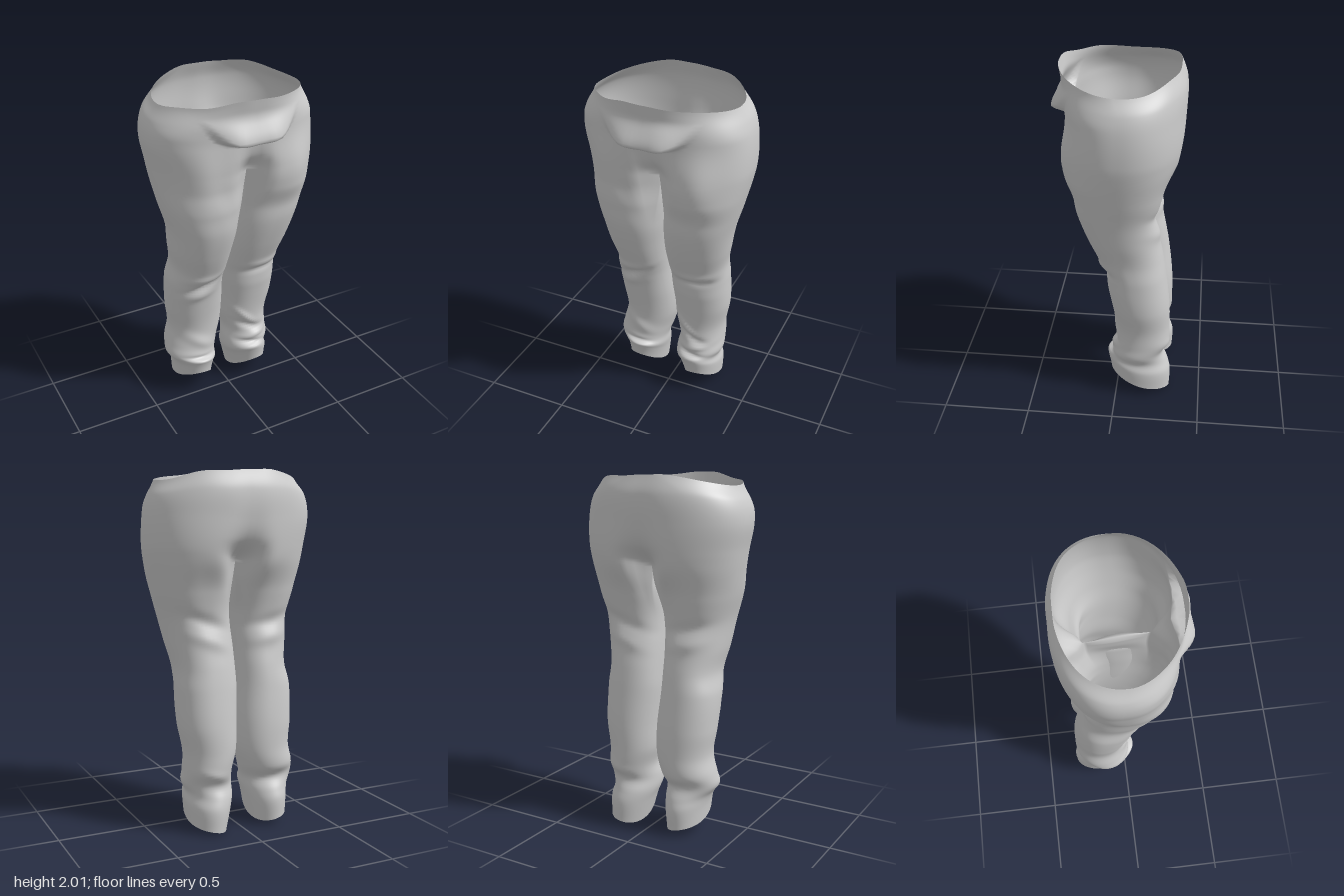
import * as THREE from 'three';
import { mergeVertices } from 'three/addons/utils/BufferGeometryUtils.js';

const CROTCH = 1.56, OUTER = 52, INNER = 20, RING = OUTER + INNER;

// Outline by height: y, front z, back z, right outer/inner x, left outer/inner x
const OUTLINE = [
  [2.00, 0.322, -0.325, 0.41, 0.0, 0.405, 0.0],
  [1.90, 0.30, -0.36, 0.46, 0.0, 0.45, 0.0],
  [1.75, 0.28, -0.365, 0.482, 0.0, 0.477, 0.0],
  [1.60, 0.285, -0.36, 0.457, -0.015, 0.48, 0.015],
  [1.50, 0.285, -0.34, 0.44, -0.022, 0.465, 0.018],
  [1.35, 0.262, -0.27, 0.41, -0.018, 0.43, 0.008],
  [1.20, 0.234, -0.225, 0.37, -0.006, 0.39, -0.003],
  [1.05, 0.185, -0.235, 0.35, 0.01, 0.36, -0.012],
  [0.92, 0.13, -0.26, 0.33, 0.018, 0.335, -0.012],
  [0.80, 0.075, -0.28, 0.35, 0.018, 0.338, -0.01],
  [0.60, 0.03, -0.305, 0.345, 0.004, 0.335, 0.002],
  [0.45, 0.008, -0.31, 0.33, 0.008, 0.31, 0.01],
  [0.34, 0.012, -0.307, 0.355, 0.035, 0.31, 0.035],
  [0.26, 0.03, -0.275, 0.362, 0.058, 0.312, 0.025],
  [0.19, 0.055, -0.30, 0.33, 0.06, 0.29, 0.025],
  [0.12, 0.05, -0.32, 0.315, 0.07, 0.30, 0.045],
  [0.00, 0.032, -0.318, 0.305, 0.085, 0.295, 0.075],
];
// Centre seam: y, front z, back z
const SEAM = [
  [2.00, 0.322, -0.325], [1.90, 0.30, -0.357], [1.76, 0.26, -0.355],
  [1.66, 0.23, -0.32], [CROTCH, 0.165, -0.20], [1.2, 0.15, -0.19],
];
// Folds: side, front or back, x, y, width, height, slope, depth
const FOLDS = [
  [-1, 1, 0.22, 0.87, 0.12, 0.025, -0.1, 0.014], [-1, 1, 0.2, 0.81, 0.12, 0.022, -0.45, -0.022],
  [-1, 1, 0.22, 0.74, 0.08, 0.025, -0.3, 0.012],
  [1, 1, 0.19, 0.88, 0.12, 0.025, 0.05, 0.014], [1, 1, 0.2, 0.83, 0.12, 0.022, 0.05, -0.014],
  [1, 1, 0.1, 0.47, 0.07, 0.022, -0.9, 0.018], [1, 1, 0.15, 0.38, 0.12, 0.024, -0.4, -0.02],
  [1, 1, 0.2, 0.32, 0.12, 0.024, 0.2, 0.014], [1, 1, 0.14, 0.25, 0.12, 0.024, -0.3, -0.018],
  [-1, 1, 0.2, 0.24, 0.14, 0.025, 0.15, -0.014], [-1, 1, 0.2, 0.38, 0.12, 0.04, 0.5, 0.012],
  [-1, -1, 0.2, 1.17, 0.16, 0.035, 0.2, -0.014], [-1, -1, 0.2, 1.08, 0.15, 0.035, 0.2, 0.01],
  [1, -1, 0.2, 1.18, 0.16, 0.035, 0.35, -0.014], [1, -1, 0.2, 1.08, 0.15, 0.035, 0.35, 0.01],
  [-1, -1, 0.2, 0.28, 0.14, 0.03, 0.2, -0.01], [1, -1, 0.18, 0.32, 0.14, 0.03, 0.3, 0.01],
];

const { lerp, smoothstep } = THREE.MathUtils;
const bell = v => Math.exp(-v * v);
const power = (v, e) => Math.sign(v) * Math.pow(Math.abs(v), e);
const band = (y, a, b, c, d) => smoothstep(y, a, b) * (1 - smoothstep(y, c, d));

// Smooth lookup in a table whose first column falls
function sample(table, y, col) {
  const n = table.length - 1;
  let i = 0;
  while (i < n - 1 && y < table[i + 1][0]) i++;
  const slope = k => {
    const a = table[Math.max(k - 1, 0)], b = table[Math.min(k + 1, n)];
    return (b[col] - a[col]) / (b[0] - a[0]);
  };
  const p = table[i], q = table[i + 1], h = q[0] - p[0];
  const t = Math.min(1, Math.max(0, (y - p[0]) / h)), t2 = t * t, t3 = t2 * t;
  return (2 * t3 - 3 * t2 + 1) * p[col] + (t3 - 2 * t2 + t) * h * slope(i)
    + (3 * t2 - 2 * t3) * q[col] + (t3 - t2) * h * slope(i + 1);
}

// One point of a half: a D section at the hips that becomes a closed leg section
function clothPoint(side, y, j) {
  const c = side < 0 ? 3 : 5;
  // right thigh sits a little back, left knee too
  const setBack = side < 0 ? 0.025 * band(y, 1.35, 1.5, 1.5, 1.75) : 0.02 * band(y, 0.7, 0.85, 1.3, 1.45);
  const zf = sample(OUTLINE, y, 1) - setBack;
  const zb = sample(OUTLINE, y, 2);
  const xo = sample(OUTLINE, y, c), xi = sample(OUTLINE, y, c + 1);
  const sf = sample(SEAM, y, 1), sb = sample(SEAM, y, 2);
  const seam = side * 0.02 * (1 - smoothstep(y, CROTCH, 1.8));
  const cz = (zf + zb) / 2, hz = (zf - zb) / 2;
  const outer = j <= OUTER, u = outer ? j / OUTER : (j - OUTER) / INNER;

  // hip section
  let dx = seam, dz = lerp(sb, sf, u);
  if (outer) {
    const a = Math.PI * (0.5 - u);
    const e = 2 / (a > 0 ? lerp(2.5, 1.85, smoothstep(y, 1.8, 2)) : 2.25);
    const r = power(Math.max(Math.cos(a), 0), e);
    dx = lerp(seam, xo, r);
    dz = cz + hz * power(Math.sin(a), e);
    // full front of the thigh
    if (a > 0) dz += 0.03 * bell((dx - 0.28) / 0.1) * band(y, 1.25, 1.45, 1.55, 1.85);
    dz = lerp(dz, a > 0 ? sf : sb, bell((dx - seam) / (a > 0 ? 0.075 : 0.09)));
  }
  // leg section, rounder towards the hem
  const a = THREE.MathUtils.degToRad(outer ? 145 - 290 * u : -145 - 70 * u);
  const legPower = lerp(1, 0.88, smoothstep(y, 0.2, 1));
  const lx = (xo + xi) / 2 + (xo - xi) / 2 * power(Math.cos(a), legPower);
  const lz = cz + hz * power(Math.sin(a), legPower);

  const w = smoothstep(y, 1.22, CROTCH);
  let x = lerp(lx, dx, w), z = lerp(lz, dz, w), py = y;

  // rounded bridge between the thighs
  if (!outer) x += (side < 0 ? 0.015 : 0.03) * Math.sin(Math.PI * u) * band(y, 1.36, 1.48, 1.53, CROTCH);

  // belly flap that overhangs the front
  if (outer && u < 0.5) {
    const edge = 1.762 + 30 * x ** 4;
    const swell = smoothstep(y, edge - 0.015, edge + 0.01) * (1 - smoothstep(y, edge, 1.94));
    z += 0.088 * swell * Math.exp(-Math.pow(x / 0.2, 4));
  }
  // cloth folds
  const facing = (z - cz) / hz;
  for (const [s, f, fx, fy, fw, fh, slope, depth] of FOLDS) {
    if (s !== side || facing * f <= 0) continue;
    z += f * depth * Math.abs(facing) * bell((x - fx) / fw) * bell((y - fy - slope * (x - fx)) / fh);
  }
  // seat hangs lower than the front of the crotch
  py -= 0.05 * (1 - smoothstep(z, -0.25, 0.1)) * bell(dx / 0.14) * bell((y - CROTCH) / 0.14);
  // waist dips at the sides
  py -= smoothstep(y, 1.75, 2) * 0.055 * Math.max(0, 1 - (z / 0.325) ** 2);
  py += smoothstep(y, 1.85, 2) * 0.006 * Math.sin(side * x * 16 + z * 9) * Math.min(1, x * 8);
  // hems rise at the front and outside
  const hem = 1 - smoothstep(y, 0, 0.34);
  const front = Math.max(0, (z - zb) / (zf - zb)), out = (x - xi) / (xo - xi);
  const rise = 0.14 * front ** 2 + 0.05 * out * (1 - 0.6 * front);
  py += hem * (rise + (side < 0 ? 0.03 : 0.005) - 0.022);
  return [side * x, py, z];
}

// Both halves as one welded cloth, with no inner wall above the crotch
function clothGeometry() {
  const heights = [];
  for (let i = 0; i <= 36; i++) heights.push(lerp(2, CROTCH, i / 36));
  const split = heights.length - 1;
  for (let i = 1; i <= 104; i++) heights.push(lerp(CROTCH, 0, i / 104));

  const pos = [], index = [];
  for (const side of [1, -1]) {
    const base = pos.length / 3;
    heights.forEach((y, i) => {
      for (let j = 0; j < RING; j++) {
        const p = clothPoint(side, y, j);
        // both halves meet on one shared seam line
        if (i <= split && (j === 0 || j >= OUTER)) p[0] = 0.02 * (1 - smoothstep(y, CROTCH, 1.8));
        pos.push(...p);
      }
    });
    for (let i = 0; i < heights.length - 1; i++) {
      for (let j = 0; j < (i < split ? OUTER : RING); j++) {
        const a = base + i * RING + j, b = base + i * RING + (j + 1) % RING;
        const c = a + RING, d = b + RING;
        if (side > 0) index.push(a, c, b, b, c, d);
        else index.push(a, b, c, b, d, c);
      }
    }
  }
  const geo = new THREE.BufferGeometry();
  geo.setAttribute('position', new THREE.Float32BufferAttribute(pos, 3));
  geo.setIndex(index);
  const welded = mergeVertices(geo, 1e-4);
  welded.computeVertexNormals();
  return welded;
}

export function createModel() {
  const group = new THREE.Group();
  group.name = 'trousers';
  const cloth = new THREE.Mesh(clothGeometry(),
    new THREE.MeshStandardMaterial({ color: 0xcccccc, side: THREE.DoubleSide }));
  cloth.name = 'trouserCloth';
  group.add(cloth);
  return group;
}
